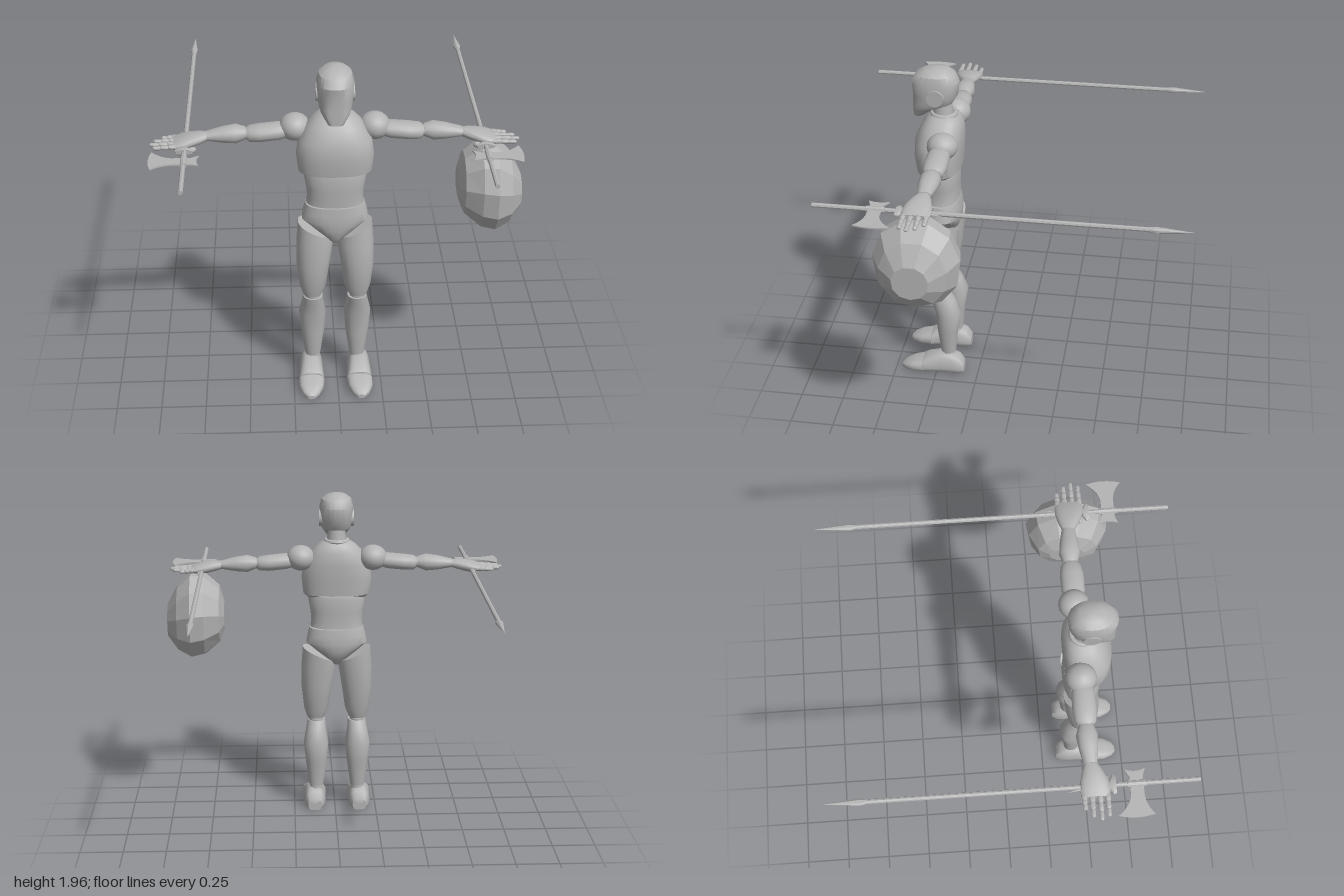
import * as THREE from 'three';
import { toCreasedNormals } from 'three/addons/utils/BufferGeometryUtils.js';

const CENTRE = -0.012; // symmetry plane of the figure

// Capped loft along an axis through rings [t, cu, cv, ru, rv];
// (u, v) is (z, x) for axis y, (y, z) for axis x and (x, y) for axis z.
function loft(axis, rings, { n = 20, p = 2.2, warp } = {}) {
  const pos = [], idx = [];
  const add = (t, u, v) => {
    const q = axis === 'y' ? new THREE.Vector3(v, t, u)
      : axis === 'x' ? new THREE.Vector3(t, u, v) : new THREE.Vector3(u, v, t);
    if (warp) warp(q);
    pos.push(q.x, q.y, q.z);
  };
  const pow = (c) => Math.sign(c) * Math.abs(c) ** (2 / p);
  for (const [t, cu, cv, ru, rv] of rings) {
    for (let j = 0; j < n; j++) {
      const a = (j + 0.5) / n * Math.PI * 2;
      add(t, cu + ru * pow(Math.cos(a)), cv + rv * pow(Math.sin(a)));
    }
  }
  const last = rings.length - 1;
  for (let i = 0; i < last; i++) {
    for (let j = 0; j < n; j++) {
      const a = i * n + j, b = i * n + (j + 1) % n;
      idx.push(a, b, b + n, a, b + n, a + n);
    }
  }
  add(...rings[0].slice(0, 3));
  add(...rings[last].slice(0, 3));
  const c0 = (last + 1) * n, c1 = c0 + 1;
  for (let j = 0; j < n; j++) {
    const k = (j + 1) % n;
    idx.push(c0, k, j, c1, last * n + j, last * n + k);
  }
  const g = new THREE.BufferGeometry();
  g.setAttribute('position', new THREE.Float32BufferAttribute(pos, 3));
  g.setIndex(idx);
  return g;
}

function ellipsoid(x, y, z, rx, ry, rz) {
  return new THREE.SphereGeometry(1, 20, 14).scale(rx, ry, rz).translate(x, y, z);
}

// Mirror across x = 0, keeping the faces outward
function mirrored(source) {
  const g = source.index ? source.toNonIndexed() : source.clone();
  const a = g.attributes.position.array;
  for (let i = 0; i < a.length; i += 9) {
    for (let k = 0; k < 9; k += 3) a[i + k] *= -1;
    for (let k = 3; k < 6; k++) [a[i + k], a[i + k + 3]] = [a[i + k + 3], a[i + k]];
  }
  return g;
}

export function createModel() {
  const model = new THREE.Group();
  model.name = 'armedMannequin';
  const grey = new THREE.MeshStandardMaterial({ color: 0xb4b4b4 });
  grey.name = 'plain grey';

  const part = (name, geometry, crease = 0.7) => {
    const g = geometry.index ? geometry.toNonIndexed() : geometry;
    g.deleteAttribute('uv');
    const mesh = new THREE.Mesh(toCreasedNormals(g, crease), grey);
    mesh.name = name;
    mesh.position.x = CENTRE;
    model.add(mesh);
  };
  const pair = (name, geometry, crease) => {
    part(name + 'Right', mirrored(geometry), crease);
    part(name + 'Left', geometry, crease);
  };

  // Head with a flat mask front, ear discs, neck and collar
  part('head', loft('y', [
    [1.67, 0.58, 0, 0.03, 0.042], [1.72, 0.55, 0, 0.068, 0.074], [1.75, 0.503, 0, 0.113, 0.088],
    [1.80, 0.485, 0, 0.126, 0.096], [1.88, 0.484, 0, 0.134, 0.1], [1.925, 0.48, 0, 0.108, 0.087],
    [1.95, 0.472, 0, 0.066, 0.055], [1.96, 0.47, 0, 0.02, 0.018],
  ], { n: 24, p: 2.3, warp: (q) => { if (q.y < 1.87) q.z = Math.min(q.z, 0.607); } }), 0.6);
  pair('earDisc', new THREE.CylinderGeometry(0.048, 0.052, 0.02, 24)
    .rotateZ(-Math.PI / 2).translate(0.093, 1.81, 0.473));
  part('neck', new THREE.CylinderGeometry(0.045, 0.06, 0.14, 20).translate(0, 1.73, 0.445));
  part('collar', new THREE.TorusGeometry(0.064, 0.014, 8, 28)
    .rotateX(Math.PI / 2).translate(0, 1.68, 0.44));

  // Torso: chest with arched lower edge, abdomen and tapering pelvis
  part('chest', loft('y', [
    [1.335, 0.465, 0, 0.11, 0.175], [1.36, 0.468, 0, 0.125, 0.2], [1.45, 0.47, 0, 0.135, 0.21],
    [1.54, 0.465, 0, 0.135, 0.198], [1.62, 0.448, 0, 0.115, 0.15], [1.66, 0.442, 0, 0.09, 0.11],
    [1.685, 0.44, 0, 0.06, 0.07],
  ], { n: 28, p: 2.5, warp: (q) => { if (q.y < 1.345) q.y += 0.03 * (1 - (q.x / 0.18) ** 2); } }));
  part('abdomen', loft('y', [
    [1.155, 0.46, 0, 0.1, 0.158], [1.19, 0.462, 0, 0.1, 0.153], [1.25, 0.463, 0, 0.102, 0.158],
    [1.32, 0.463, 0, 0.105, 0.17], [1.35, 0.463, 0, 0.1, 0.165],
  ], { n: 28, p: 2.4 }));
  part('waistJoint', loft('y', [[1.1, 0.46, 0, 0.085, 0.14], [1.2, 0.46, 0, 0.085, 0.14]]));
  part('pelvis', loft('y', [
    [0.92, 0.47, 0, 0.06, 0.025], [0.96, 0.463, 0, 0.09, 0.068], [1.01, 0.458, 0, 0.105, 0.13],
    [1.055, 0.458, 0, 0.108, 0.183], [1.1, 0.458, 0, 0.106, 0.176], [1.148, 0.46, 0, 0.1, 0.163],
  ], { n: 28, p: 2.4 }));

  // Legs
  pair('thigh', loft('y', [
    [0.57, 0.475, 0.128, 0.056, 0.052], [0.63, 0.473, 0.125, 0.074, 0.074],
    [0.77, 0.47, 0.123, 0.094, 0.092], [0.9, 0.46, 0.113, 0.1, 0.102],
    [0.985, 0.454, 0.11, 0.1, 0.095],
  ], { warp: (q) => { if (q.y > 0.95) q.y += 0.45 * (q.x - 0.11); } }));
  pair('knee', ellipsoid(0.126, 0.56, 0.472, 0.046, 0.045, 0.052));
  pair('shin', loft('y', [
    [0.14, 0.43, 0.127, 0.045, 0.044], [0.3, 0.432, 0.126, 0.062, 0.066],
    [0.42, 0.425, 0.128, 0.075, 0.076], [0.51, 0.455, 0.126, 0.07, 0.06],
    [0.555, 0.474, 0.124, 0.06, 0.054],
  ]));
  pair('ankle', new THREE.CylinderGeometry(0.036, 0.042, 0.08, 16).translate(0.127, 0.12, 0.43));
  const slimTop = (q) => { if (q.y > 0.04) q.x = 0.137 + (q.x - 0.137) * (1 - 3 * (q.y - 0.04)); };
  pair('foot', loft('z', [
    [0.335, 0.137, 0.035, 0.042, 0.035], [0.365, 0.137, 0.055, 0.062, 0.055],
    [0.41, 0.137, 0.065, 0.068, 0.065], [0.47, 0.137, 0.065, 0.07, 0.065],
    [0.55, 0.137, 0.052, 0.073, 0.052], [0.578, 0.137, 0.043, 0.074, 0.043],
  ], { p: 3.2, warp: slimTop }));
  pair('toeCap', loft('z', [
    [0.582, 0.137, 0.04, 0.074, 0.04], [0.64, 0.14, 0.032, 0.068, 0.032],
    [0.69, 0.142, 0.022, 0.045, 0.022], [0.712, 0.142, 0.014, 0.02, 0.012],
  ], { p: 3, warp: slimTop }));

  // Arms held straight out
  pair('shoulder', ellipsoid(0.214, 1.582, 0.414, 0.084, 0.075, 0.086));
  pair('upperArm', loft('x', [
    [0.265, 1.564, 0.42, 0.038, 0.055], [0.3, 1.562, 0.42, 0.046, 0.064],
    [0.4, 1.552, 0.42, 0.046, 0.066], [0.455, 1.549, 0.42, 0.042, 0.058],
    [0.472, 1.549, 0.42, 0.032, 0.045],
  ]));
  pair('elbow', ellipsoid(0.475, 1.55, 0.42, 0.03, 0.03, 0.04));
  pair('forearm', loft('x', [
    [0.478, 1.552, 0.42, 0.032, 0.042], [0.53, 1.549, 0.42, 0.05, 0.059],
    [0.6, 1.546, 0.422, 0.042, 0.052], [0.685, 1.542, 0.425, 0.024, 0.037],
  ]));
  pair('palm', loft('x', [
    [0.68, 1.54, 0.427, 0.022, 0.034], [0.72, 1.535, 0.432, 0.03, 0.055],
    [0.78, 1.525, 0.438, 0.032, 0.076], [0.83, 1.517, 0.44, 0.026, 0.08],
    [0.862, 1.514, 0.44, 0.015, 0.072],
  ]));

  // Jointed fingers, then the thumb hanging below the palm
  [[0.38, 0.925], [0.42, 0.965], [0.462, 0.985], [0.502, 0.965]].forEach(([z, tip], f) => {
    const step = (tip - 0.845) / 3;
    for (let s = 0; s < 3; s++) {
      const r = 0.0155 - s * 0.0015;
      pair(`finger${f + 1}Joint${s + 1}`, new THREE.CapsuleGeometry(r, Math.max(step - r, 0.005), 4, 10)
        .rotateZ(Math.PI / 2).scale(1, 0.85, 1).translate(0.845 + step * (s + 0.5), 1.514 - s * 0.002, z));
    }
  });
  pair('thumb', new THREE.CapsuleGeometry(0.017, 0.07, 4, 10)
    .rotateZ(Math.PI / 2 - 0.25).translate(0.79, 1.487, 0.5));

  // Polearms: shaft, spear point, axe head, guard and small spur
  const HX = 0.8, HY = 1.508;
  pair('poleShaft', new THREE.CylinderGeometry(0.013, 0.013, 1.79, 8)
    .rotateX(Math.PI / 2).translate(HX, HY, 0.105));
  pair('spearPoint', loft('z', [
    [-0.99, HX, HY, 0.001, 0.001], [-0.8, HX, HY, 0.021, 0.017], [-0.765, HX, HY, 0.013, 0.013],
  ], { n: 8, p: 2 }), 0.3);
  const blade = new THREE.Shape();
  blade.moveTo(-0.035, 0.625);
  blade.lineTo(-0.08, 0.6);
  blade.quadraticCurveTo(-0.055, 0.655, -0.08, 0.712);
  blade.lineTo(-0.035, 0.697);
  blade.lineTo(0.065, 0.697);
  blade.quadraticCurveTo(0.125, 0.7, 0.172, 0.745);
  blade.quadraticCurveTo(0.2, 0.65, 0.172, 0.55);
  blade.quadraticCurveTo(0.125, 0.615, 0.065, 0.625);
  pair('axeBlade', new THREE.ExtrudeGeometry(blade, { depth: 0.008, bevelEnabled: false, curveSegments: 8 })
    .rotateX(Math.PI / 2).translate(HX, HY + 0.004, 0));
  pair('axeSocket', new THREE.CylinderGeometry(0.018, 0.018, 0.1, 8)
    .rotateX(Math.PI / 2).translate(HX, HY, 0.66));
  pair('guard', loft('z', [
    [0.515, HX, HY, 0.025, 0.014], [0.535, HX, HY, 0.055, 0.017], [0.552, HX, HY, 0.048, 0.015],
  ], { n: 12, p: 2 }));
  pair('spur', new THREE.ConeGeometry(0.008, 0.08, 6)
    .rotateX(-Math.PI / 2).rotateY(-0.2).translate(HX + 0.02, HY, 0.33));

  // Heavy faceted shield hanging below the left hand
  part('shield', loft('x', [
    [0.672, 1.235, 0.43, 0.08, 0.1], [0.7, 1.24, 0.435, 0.17, 0.17], [0.79, 1.24, 0.44, 0.25, 0.225],
    [0.87, 1.233, 0.44, 0.262, 0.238], [0.95, 1.215, 0.445, 0.2, 0.185], [1.01, 1.2, 0.45, 0.1, 0.1],
  ], { n: 11, p: 2.1 }), 0.01);

  return model;
}
